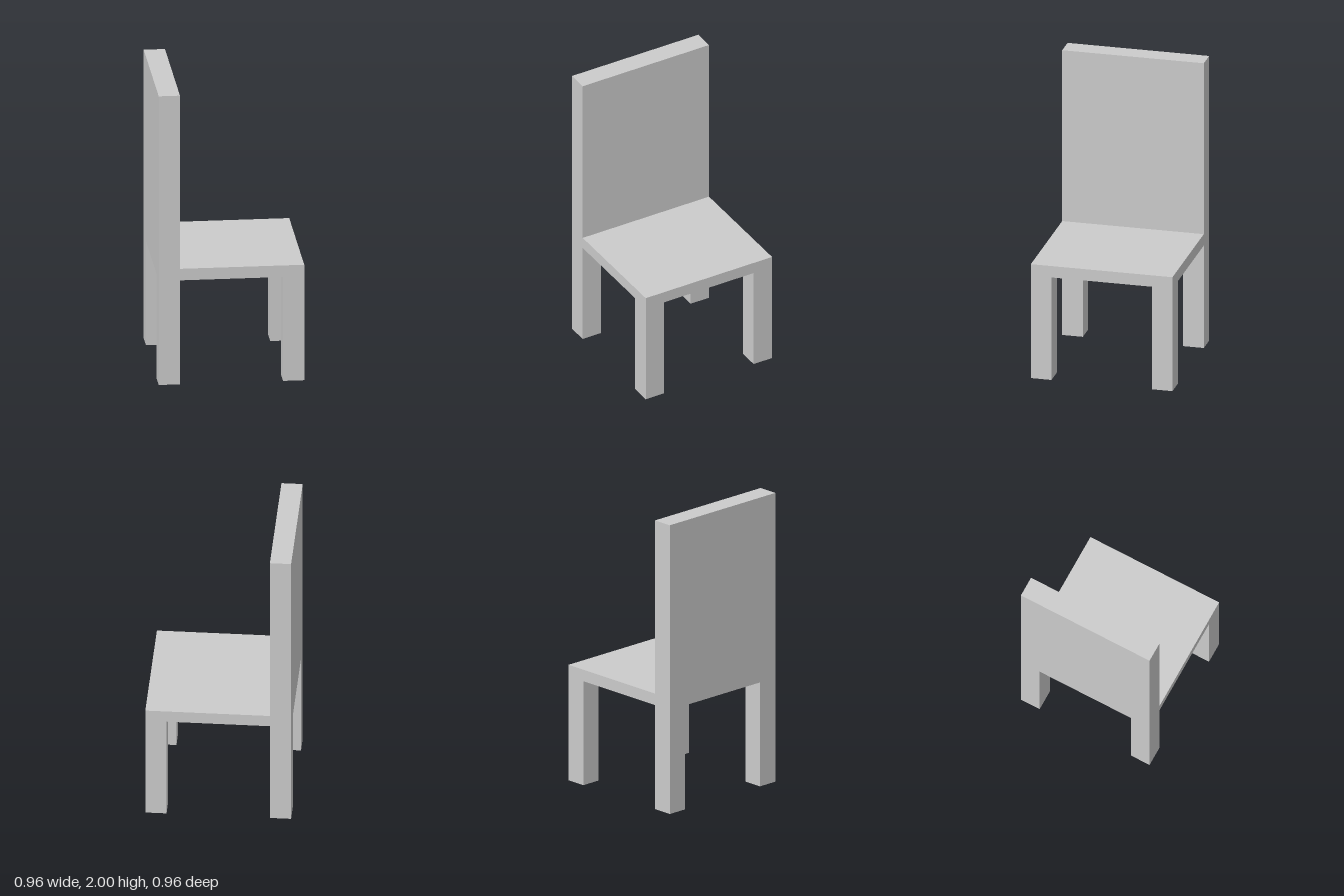
import * as THREE from 'three';

const HALF = 0.48;        // half of the square footprint
const LEG = 0.14;         // leg and backrest thickness
const SEAT_BOTTOM = 0.72;
const SEAT_TOP = 0.8;
const TOP = 2;

export function createModel() {
  const chair = new THREE.Group();
  chair.name = 'chair';
  const material = new THREE.MeshStandardMaterial({ color: 0xcccccc, flatShading: true });

  // Box given by its extents on each axis
  const addBox = (name, [x0, x1], [y0, y1], [z0, z1]) => {
    const mesh = new THREE.Mesh(new THREE.BoxGeometry(x1 - x0, y1 - y0, z1 - z0), material);
    mesh.position.set((x0 + x1) / 2, (y0 + y1) / 2, (z0 + z1) / 2);
    mesh.name = name;
    chair.add(mesh);
  };

  // Backrest slab along the -x edge, with the seat butted against it
  addBox('backrest', [-HALF, -HALF + LEG], [SEAT_BOTTOM, TOP], [-HALF, HALF]);
  addBox('seat', [-HALF + LEG, HALF], [SEAT_BOTTOM, SEAT_TOP], [-HALF, HALF]);

  // Four square legs flush with the corners
  const low = [-HALF, -HALF + LEG];
  const high = [HALF - LEG, HALF];
  for (const [xName, x] of [['backrestSide', low], ['seatSide', high]]) {
    for (const [zName, z] of [['Rear', low], ['Front', high]]) {
      addBox(`${xName}${zName}Leg`, x, [0, SEAT_BOTTOM], z);
    }
  }
  return chair;
}
